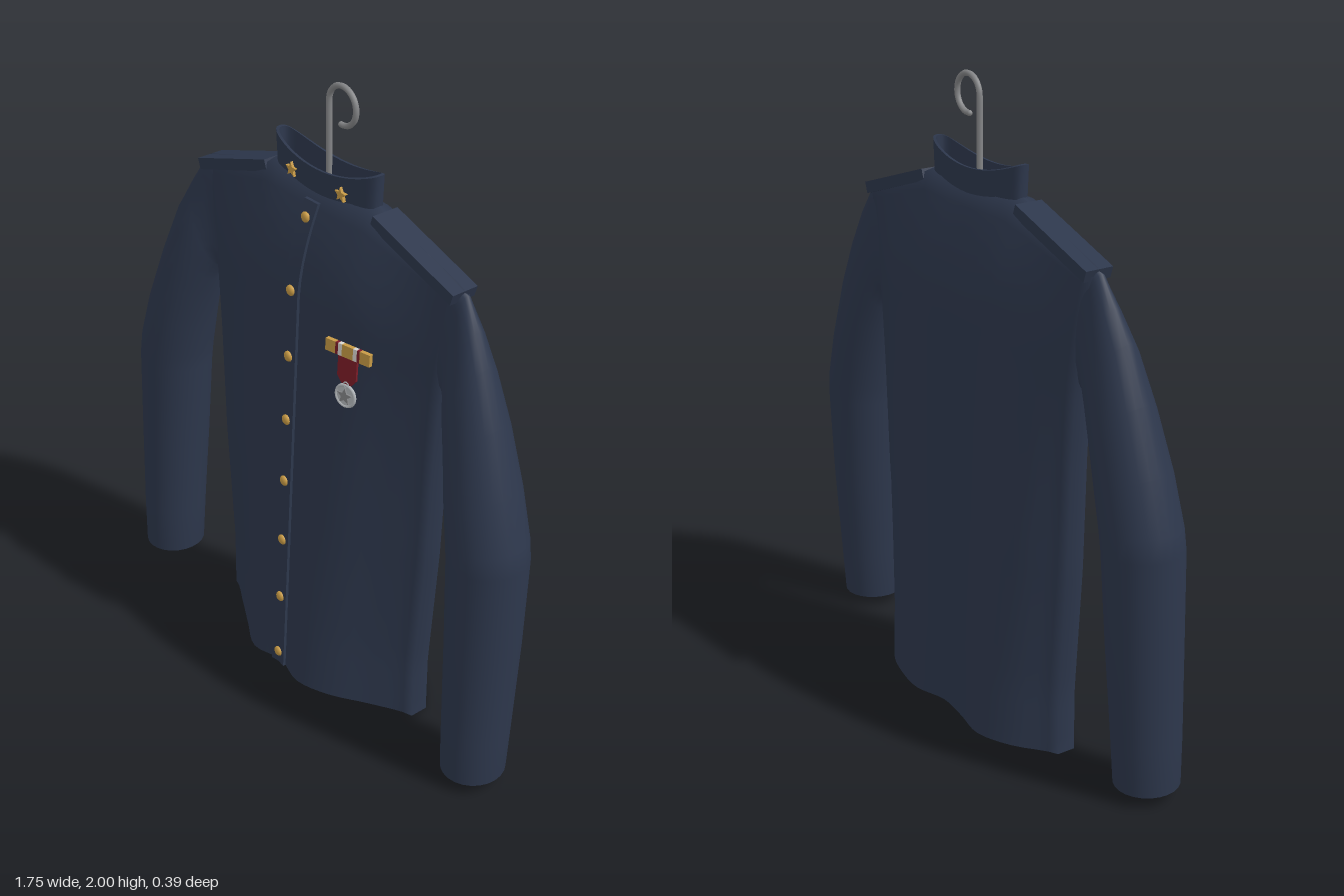
import * as THREE from 'three';
import { toCreasedNormals } from 'three/addons/utils/BufferGeometryUtils.js';

const { lerp } = THREE.MathUtils;
const mat = (name, color, side = THREE.FrontSide) => {
  const m = new THREE.MeshStandardMaterial({ color, side });
  m.name = name;
  return m;
};

// Skin a list of closed rings of [x, y, z] points
function loft(rings, cap = false) {
  const n = rings[0].length, pos = rings.flat(2), idx = [];
  for (let r = 0; r < rings.length - 1; r++) {
    for (let i = 0; i < n; i++) {
      const j = (i + 1) % n, a = r * n + i, b = r * n + j;
      idx.push(a, b, b + n, a, b + n, a + n);
    }
  }
  if (cap) {
    const last = (rings.length - 1) * n;
    for (let i = 1; i < n - 1; i++) idx.push(last, last + i, last + i + 1);
  }
  const g = new THREE.BufferGeometry();
  g.setAttribute('position', new THREE.Float32BufferAttribute(pos, 3));
  g.setIndex(idx);
  g.computeVertexNormals();
  return g;
}

// Depth curves across the jacket, evenly spaced from its right side to its left
const spline = (zs) => new THREE.SplineCurve(zs.map((z, i) => new THREE.Vector2(i, z)));
const DEPTH = {
  front: [
    [0, 0.06, 0.125, 0.185, 0.165, 0.19, 0.15, 0.07, 0],
    [-0.01, 0.035, 0.08, 0.1, 0.1, 0.1, 0.08, 0.035, -0.01],
    [-0.02, -0.01, 0, 0.005, 0.005, 0.005, 0, -0.01, -0.02],
  ].map(spline),
  back: [
    [-0.06, -0.15, -0.2, -0.185, -0.175, -0.205, -0.19, -0.15, -0.06],
    [-0.065, -0.115, -0.145, -0.165, -0.165, -0.165, -0.145, -0.115, -0.065],
    [-0.06, -0.065, -0.07, -0.075, -0.075, -0.075, -0.07, -0.065, -0.06],
  ].map(spline),
};
const WIDTH = [[0, 0.455], [0.13, 0.455], [0.4, 0.488], [0.64, 0.502], [0.77, 0.515], [1, 0.57]];
const CHEST = 0.8;

function halfWidth(v) {
  const k = Math.max(1, WIDTH.findIndex((p) => p[0] >= v));
  const [a, b] = [WIDTH[k - 1], WIDTH[k]];
  return lerp(a[1], b[1], (v - a[0]) / (b[0] - a[0]));
}
function depth(side, u, v) {
  const [hem, chest, top] = DEPTH[side].map((c) => c.getPoint((u + 1) / 2).y);
  return v < CHEST ? lerp(hem, chest, v / CHEST)
    : lerp(chest, top, ((v - CHEST) / (1 - CHEST)) ** 1.7);
}
const hemY = (side, u) => (side === 'front' ? 0.025 : 0.01) * (1 - u * u);
const shoulderY = (u) => 1.675 - 0.115 * Math.max(0, (Math.abs(u) - 0.39) / 0.61);
const torsoPoint = (side, u, v) =>
  [u * halfWidth(v), lerp(hemY(side, u), shoulderY(u), v), depth(side, u, v)];

// Front surface depth at a given x and y
function frontZ(x, y) {
  let u = x / 0.5, v = 0;
  for (let i = 0; i < 4; i++) {
    const y0 = hemY('front', u);
    v = Math.min(1, Math.max(0, (y - y0) / (shoulderY(u) - y0)));
    u = x / halfWidth(v);
  }
  return depth('front', u, v);
}

function torsoGeometry() {
  const rows = 32, cols = 32, rings = [];
  for (let r = 0; r <= rows; r++) {
    const ring = [];
    for (let i = 0; i <= cols; i++) ring.push(torsoPoint('front', -1 + 2 * i / cols, r / rows));
    for (let i = cols; i >= 0; i--) ring.push(torsoPoint('back', -1 + 2 * i / cols, r / rows));
    rings.push(ring);
  }
  // close the shoulders along the middle
  rings.push(rings[rows].map(([x, y]) => [x, y + 0.008, -0.035]));
  return loft(rings);
}

// Sleeve sections: outer x, y, inner x, y, centre z, half depth
const SLEEVE = [
  [0.54, 1.568, 0.49, 1.19, -0.035, 0.033],
  [0.585, 1.555, 0.515, 1.2, -0.035, 0.042],
  [0.64, 1.47, 0.532, 1.2, -0.03, 0.06],
  [0.69, 1.38, 0.552, 1.14, -0.022, 0.078],
  [0.755, 1.22, 0.578, 1.05, -0.015, 0.097],
  [0.82, 1.03, 0.6, 0.95, -0.006, 0.112],
  [0.865, 0.87, 0.62, 0.84, 0, 0.118],
  [0.875, 0.8, 0.628, 0.78, 0.002, 0.118],
  [0.872, 0.5, 0.645, 0.5, 0.012, 0.114],
  [0.866, 0.2, 0.661, 0.2, 0.026, 0.107],
  [0.862, 0.04, 0.668, 0.04, 0.032, 0.102],
  [0.852, 0.045, 0.678, 0.045, 0.032, 0.092],
];
function sleeveGeometry(s) {
  const n = 24;
  return loft(SLEEVE.map(([ox, oy, ix, iy, zc, d]) => Array.from({ length: n }, (_, i) => {
    const a = (i / n) * Math.PI * 2, c = Math.cos(a) / 2;
    return [s * ((ox + ix) / 2 + (ox - ix) * c), (oy + iy) / 2 + (oy - iy) * c, zc + s * d * Math.sin(a)];
  })), true);
}

function collarGeometry() {
  const n = 48;
  const ring = (scale, top) => Array.from({ length: n }, (_, i) => {
    const a = (i / n) * Math.PI * 2, c = Math.cos(a), s = Math.sin(a);
    const y = top ? 1.735 + 0.045 * c * c : 1.65 + 0.035 * Math.abs(c) ** 5;
    return [-0.225 * scale * c, y, -0.035 + Math.sign(s) * Math.abs(s) ** 0.7 * (0.05 - (1 - scale) * 0.15)];
  });
  return toCreasedNormals(loft([ring(0.98, false), ring(1, true), ring(0.95, true), ring(0.93, false)]), 0.7);
}

function starGeometry(radius, thick) {
  const s = new THREE.Shape(Array.from({ length: 10 }, (_, i) => {
    const a = Math.PI / 2 + i * Math.PI / 5, r = i % 2 ? radius * 0.45 : radius;
    return new THREE.Vector2(Math.cos(a) * r, Math.sin(a) * r);
  }));
  return new THREE.ExtrudeGeometry(s, { depth: thick, bevelEnabled: false });
}

export function createModel() {
  const model = new THREE.Group();
  model.name = 'uniformJacket';
  const cloth = mat('navyCloth', 0x2d374c, THREE.DoubleSide);
  const gold = mat('gold', 0xc79a45);
  const steel = mat('steel', 0x858688);
  const silver = mat('silver', 0xb4b8bc);
  const red = mat('redRibbon', 0x7d1c28);
  const white = mat('whiteRibbon', 0xd9d6d0);
  const add = (name, geo, material, x = 0, y = 0, z = 0, parent = model) => {
    const m = new THREE.Mesh(geo, material);
    m.name = name;
    m.position.set(x, y, z);
    parent.add(m);
    return m;
  };

  add('torso', torsoGeometry(), cloth);
  add('collar', collarGeometry(), cloth);

  // Sleeves, shoulder straps and collar stars
  for (const s of [1, -1]) {
    const side = s > 0 ? 'left' : 'right';
    add(side + 'Sleeve', sleeveGeometry(s), cloth);
    const strap = add(side + 'ShoulderStrap', new THREE.BoxGeometry(0.35, 0.036, 0.092), cloth, s * 0.403, 1.604, -0.035);
    strap.rotation.z = -s * 0.325;
    add(side + 'CollarStar', starGeometry(0.024, 0.012), gold, s * 0.11, 1.695, 0.006);
  }

  // Button strip following the front
  const placket = new THREE.BoxGeometry(0.06, 1.615, 0.016, 2, 40, 1);
  const p = placket.attributes.position;
  for (let i = 0; i < p.count; i++) {
    const y = p.getY(i) + 0.8325;
    p.setXYZ(i, p.getX(i), y, p.getZ(i) + 0.002 + frontZ(p.getX(i), y));
  }
  placket.computeVertexNormals();
  add('placket', placket, cloth);

  // Buttons
  for (let i = 0; i < 8; i++) {
    const y = 0.067 + i * 0.2183;
    const b = add('button', new THREE.SphereGeometry(0.017, 12, 8), gold, 0, y, frontZ(0, y) + 0.012);
    b.scale.z = 0.6;
  }

  // Medal with striped bar, ribbon and disc
  const medal = new THREE.Group();
  medal.name = 'medal';
  medal.position.set(0.245, 1.275, frontZ(0.245, 1.25) + 0.008);
  medal.rotation.set(-0.06, 0.2, 0);
  model.add(medal);
  const stripes = [[-0.08, -0.044, gold], [-0.044, -0.034, red], [-0.034, -0.02, white], [-0.02, 0.02, gold],
    [0.02, 0.034, white], [0.034, 0.044, red], [0.044, 0.08, gold]];
  for (const [a, b, m] of stripes) {
    add('barStripe', new THREE.BoxGeometry(b - a, 0.038, 0.014), m, (a + b) / 2, 0, 0, medal);
  }
  const ribbon = new THREE.Shape([[-0.034, -0.01], [-0.034, -0.085], [-0.018, -0.105], [0.018, -0.105],
    [0.034, -0.085], [0.034, -0.01]].map(([x, y]) => new THREE.Vector2(x, y)));
  add('ribbon', new THREE.ExtrudeGeometry(ribbon, { depth: 0.008, bevelEnabled: false }), red, 0, 0, -0.004, medal);
  const disc = add('medalDisc', new THREE.CylinderGeometry(0.033, 0.033, 0.01, 24), silver, 0, -0.143, 0, medal);
  disc.rotation.x = Math.PI / 2;
  add('medalRim', new THREE.TorusGeometry(0.034, 0.005, 6, 24), silver, 0, -0.143, 0.003, medal);
  add('medalStar', starGeometry(0.027, 0.006), steel, 0, -0.143, 0.004, medal);
  add('medalRing', new THREE.TorusGeometry(0.009, 0.003, 6, 12), silver, 0, -0.107, 0.003, medal);

  // Hanger hook: straight stem, then a curl
  const pts = [[0, 1.66], [0, 1.75], [0, 1.85]].map(([x, y]) => new THREE.Vector3(x, y, -0.035));
  for (let i = 0; i <= 16; i++) {
    const a = Math.PI - (i / 16) * Math.PI * 1.53;
    pts.push(new THREE.Vector3(0.058 + Math.cos(a) * 0.058, 1.933 + Math.sin(a) * 0.058, -0.035));
  }
  add('hangerHook', new THREE.TubeGeometry(new THREE.CatmullRomCurve3(pts), 80, 0.009, 8), steel);
  add('hookTip', new THREE.SphereGeometry(0.009, 8, 6), steel, ...pts[pts.length - 1].toArray());
  return model;
}
